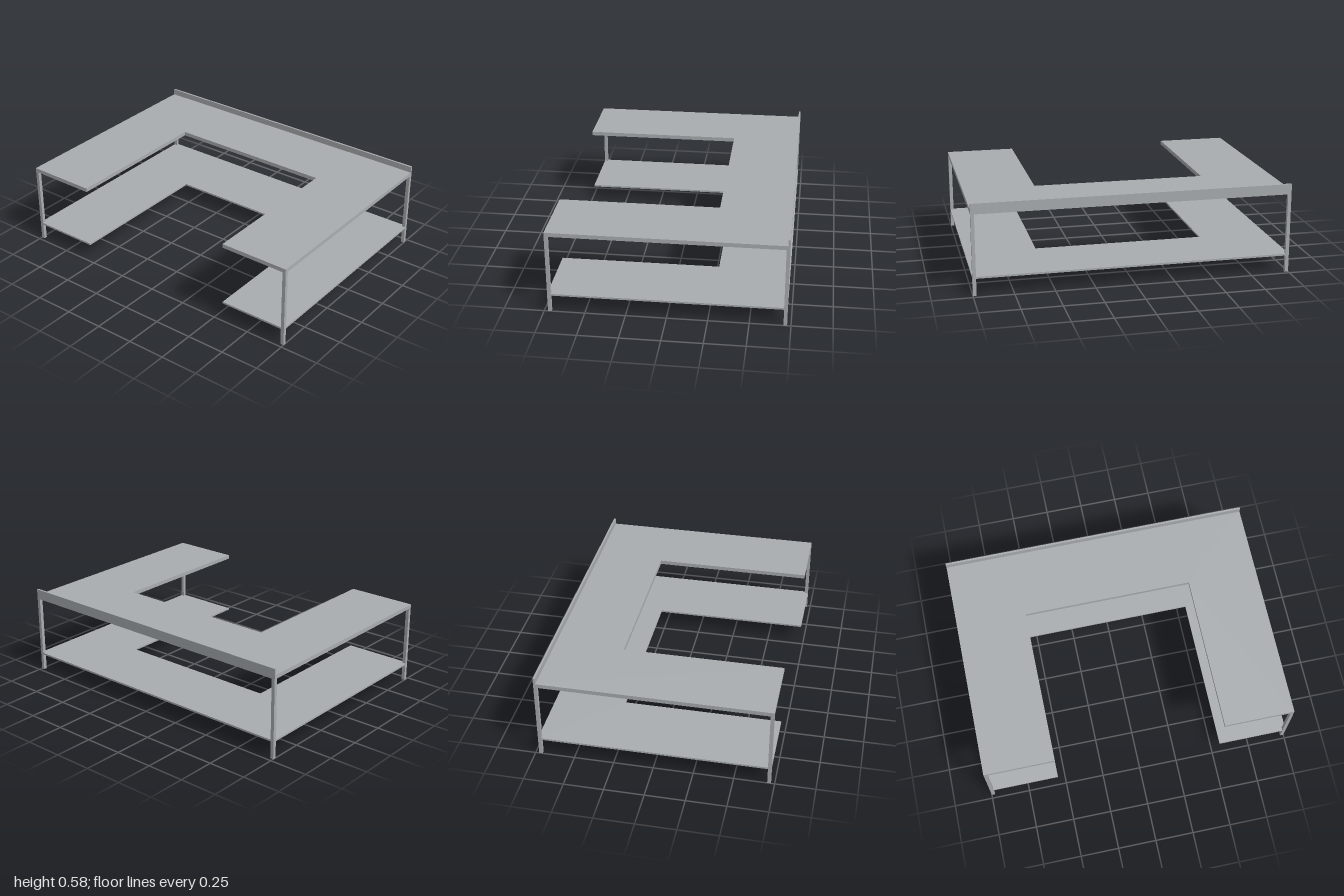
import * as THREE from 'three';

const HALF_W = 1, HALF_D = 0.727;
const INNER_X = 0.547, INNER_Z = -0.278;
const LEG = 0.022, TOP_UNDER = 0.511, TOP_Y = 0.537;

// U-shaped slab, open towards the front
function uSlab(name, bottom, top, material) {
  const outline = [
    [-HALF_W, -HALF_D], [-INNER_X, -HALF_D], [-INNER_X, -INNER_Z], [INNER_X, -INNER_Z],
    [INNER_X, -HALF_D], [HALF_W, -HALF_D], [HALF_W, HALF_D], [-HALF_W, HALF_D],
  ];
  const shape = new THREE.Shape(outline.map(([x, y]) => new THREE.Vector2(x, y)));
  const geometry = new THREE.ExtrudeGeometry(shape, { depth: top - bottom, bevelEnabled: false });
  geometry.rotateX(-Math.PI / 2);
  const mesh = new THREE.Mesh(geometry, material);
  mesh.name = name;
  mesh.position.y = bottom;
  return mesh;
}

function box(name, w, h, d, x, y, z, material) {
  const mesh = new THREE.Mesh(new THREE.BoxGeometry(w, h, d), material);
  mesh.name = name;
  mesh.position.set(x, y, z);
  return mesh;
}

export function createModel() {
  const steel = new THREE.MeshStandardMaterial({ color: 0xa9adb0 });
  steel.name = 'brushed steel';

  const model = new THREE.Group();
  model.name = 'uShapedWorktable';

  // Worktop and lower shelf
  model.add(uSlab('worktop', TOP_UNDER, TOP_Y, steel));
  model.add(uSlab('lowerShelf', 0.109, 0.121, steel));

  // Upstand along the back edge
  const upstandH = 0.577 - TOP_Y, upstandD = 0.013;
  model.add(box('backUpstand', HALF_W * 2, upstandH, upstandD,
    0, TOP_Y + upstandH / 2, -HALF_D + upstandD / 2, steel));

  // Four corner legs
  for (const sx of [-1, 1]) {
    for (const sz of [-1, 1]) {
      const name = (sz > 0 ? 'front' : 'back') + (sx > 0 ? 'Left' : 'Right') + 'Leg';
      model.add(box(name, LEG, TOP_UNDER, LEG,
        sx * (HALF_W - LEG / 2), TOP_UNDER / 2, sz * (HALF_D - LEG / 2), steel));
    }
  }
  return model;
}
